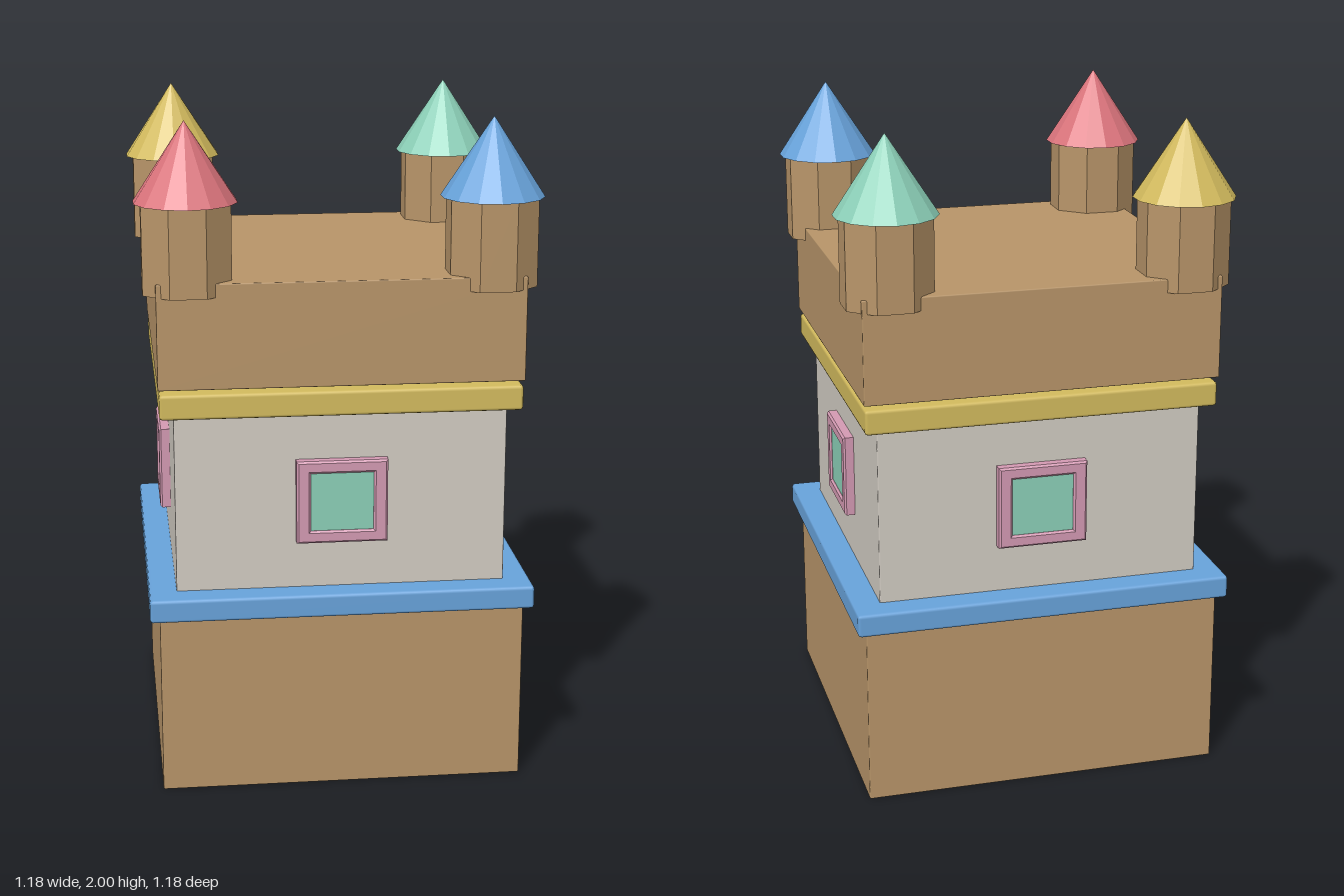
import * as THREE from 'three';
import { RoundedBoxGeometry } from 'three/addons/geometries/RoundedBoxGeometry.js';

export function createModel() {
  const castle = new THREE.Group();
  castle.name = 'castle';

  const mat = (name, color) => {
    const m = new THREE.MeshStandardMaterial({ color });
    m.name = name;
    return m;
  };
  const brown = mat('brownStone', 0xb89569);
  const plaster = mat('paleWall', 0xd2ccc3);
  const blue = mat('blue', 0x68a3db);
  const yellow = mat('yellow', 0xd3bb5e);
  const green = mat('mintGreen', 0x8cd0b8);
  const pink = mat('pink', 0xd49ab3);
  const red = mat('red', 0xdb747c);

  const add = (parent, name, geometry, material, x = 0, y = 0, z = 0) => {
    const mesh = new THREE.Mesh(geometry, material);
    mesh.name = name;
    mesh.position.set(x, y, z);
    parent.add(mesh);
    return mesh;
  };

  // Stacked square storeys and trim bands: half width, bottom, top
  const block = (name, half, y0, y1, material, bevel = 0.004) =>
    add(castle, name, new RoundedBoxGeometry(half * 2, y1 - y0, half * 2, 1, bevel),
      material, 0, (y0 + y1) / 2, 0);
  block('baseStorey', 0.543, 0, 0.55, brown);
  block('lowerBand', 0.572, 0.545, 0.615, blue, 0.01);
  block('middleStorey', 0.49, 0.61, 1.16, plaster);
  block('upperBand', 0.531, 1.15, 1.225, yellow, 0.01);
  block('topStorey', 0.534, 1.24, 1.55, brown);

  // Window frame: square ring with a small bevel
  const square = (Type, w, h) => new Type([
    new THREE.Vector2(-w, -h), new THREE.Vector2(w, -h),
    new THREE.Vector2(w, h), new THREE.Vector2(-w, h),
  ]);
  const ring = square(THREE.Shape, 0.129, 0.12);
  ring.holes.push(square(THREE.Path, 0.099, 0.094));
  const frameGeometry = new THREE.ExtrudeGeometry(ring, {
    depth: 0.03, bevelEnabled: true, bevelThickness: 0.006, bevelSize: 0.006, bevelSegments: 1,
  });
  const paneGeometry = new THREE.BoxGeometry(0.2, 0.19, 0.03);

  // One window on each side
  for (let i = 0; i < 4; i++) {
    const window = new THREE.Group();
    window.name = 'window' + (i + 1);
    add(window, 'windowFrame', frameGeometry, pink, 0, 0.885, 0.486);
    add(window, 'windowPane', paneGeometry, green, 0, 0.885, 0.5);
    window.rotation.y = i * Math.PI / 2;
    castle.add(window);
  }

  // Corner turrets with pointed roofs
  const shaftGeometry = new THREE.CylinderGeometry(0.138, 0.138, 0.27, 8, 1)
    .rotateY(Math.PI / 8).scale(1, 1, 0.9).toNonIndexed();
  shaftGeometry.computeVertexNormals();
  const roofGeometry = new THREE.ConeGeometry(0.151, 0.23, 14).toNonIndexed();
  roofGeometry.computeVertexNormals();
  const turrets = [
    ['frontRight', -1, 1, red], ['frontLeft', 1, 1, blue],
    ['backRight', -1, -1, yellow], ['backLeft', 1, -1, green],
  ];
  for (const [name, sx, sz, roofMaterial] of turrets) {
    const turret = new THREE.Group();
    turret.name = name + 'Turret';
    add(turret, 'turretShaft', shaftGeometry, brown, 0, 1.645, 0);
    add(turret, 'turretRoof', roofGeometry, roofMaterial, 0, 1.885, 0);
    turret.position.set(sx * 0.442, 0, sz * 0.441);
    castle.add(turret);
  }

  return castle;
}
